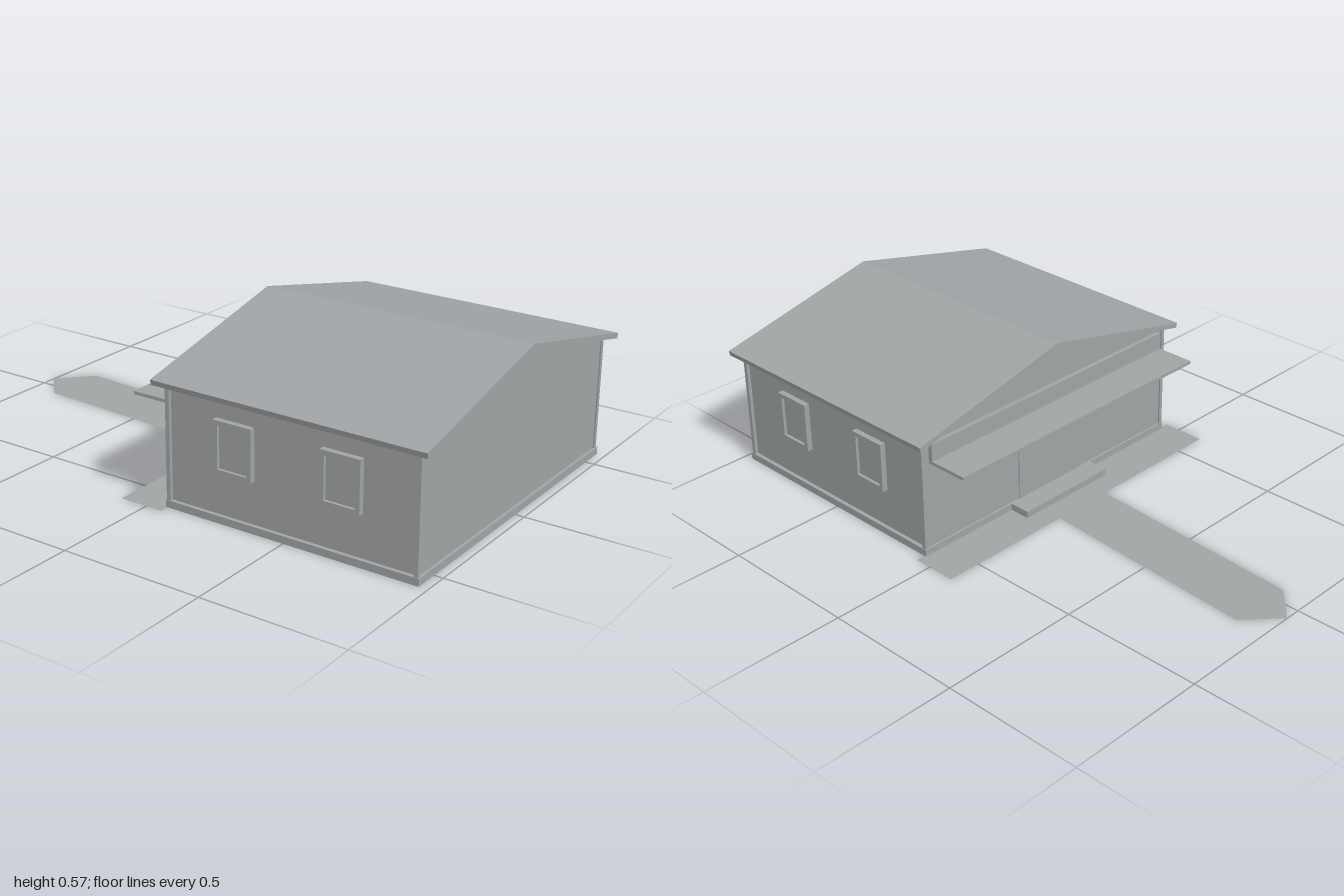
import * as THREE from 'three';

export function createModel() {
  const house = new THREE.Group();
  house.name = 'house';
  const grey = new THREE.MeshStandardMaterial({ color: 0xa0a4a6, side: THREE.DoubleSide });
  grey.name = 'plain grey';

  const add = (name, geometry, parent = house) => {
    const mesh = new THREE.Mesh(geometry, grey);
    mesh.name = name;
    parent.add(mesh);
    return mesh;
  };
  // box given by its limits on each axis
  const box = (name, x0, x1, y0, y1, z0, z1, parent) => {
    const g = new THREE.BoxGeometry(x1 - x0, y1 - y0, z1 - z0);
    g.translate((x0 + x1) / 2, (y0 + y1) / 2, (z0 + z1) / 2);
    return add(name, g, parent);
  };
  const shapeOf = (points) => new THREE.Shape(points.map(([x, y]) => new THREE.Vector2(x, y)));
  // front outline pushed along z
  const extrude = (points, z0, z1) => {
    const g = new THREE.ExtrudeGeometry(shapeOf(points), { depth: z1 - z0, bevelEnabled: false });
    return g.translate(0, 0, z0);
  };
  // flat ground sheet, points as [x, z]
  const sheet = (name, points, y) => {
    const g = new THREE.ShapeGeometry(shapeOf(points.map(([x, z]) => [x, -z])));
    g.rotateX(-Math.PI / 2).translate(0, y, 0);
    return add(name, g);
  };

  // body with gables, on a low plinth
  box('plinth', -0.587, 0.587, 0, 0.025, 0.053, 0.97);
  add('walls', extrude([[-0.573, 0.02], [0.573, 0.02], [0.573, 0.421], [0, 0.551], [-0.573, 0.421]], 0.061, 0.96));

  for (const s of [-1, 1]) {
    // roof slab
    add('roofSlab', extrude([[0, 0.569], [s * 0.617, 0.429], [s * 0.613, 0.411], [0, 0.551]], 0.025, 1.0));

    // corner posts
    for (const z of [0.056, 0.95]) {
      const [a, b] = [s * 0.571, s * 0.585];
      box('cornerPost', Math.min(a, b), Math.max(a, b), 0.025, 0.419, z, z + 0.015);
    }

    // side windows
    for (const z of [0.315, 0.7]) {
      const frame = shapeOf([[-0.07, -0.088], [0.07, -0.088], [0.07, 0.088], [-0.07, 0.088]]);
      frame.holes.push(new THREE.Path([[-0.054, -0.072], [-0.054, 0.072], [0.054, 0.072], [0.054, -0.072]]
        .map(([x, y]) => new THREE.Vector2(x, y))));
      const win = new THREE.Group();
      win.name = 'window';
      add('windowFrame', new THREE.ExtrudeGeometry(frame, { depth: 0.021, bevelEnabled: false }), win);
      box('windowPane', -0.055, 0.055, -0.073, 0.073, 0, 0.01, win);
      win.position.set(s * 0.572, 0.255, z);
      win.rotation.y = s * Math.PI / 2;
      house.add(win);
    }
  }

  // back door, step and awning with its mounting board
  box('door', -0.152, 0.152, 0.025, 0.32, 0.057, 0.065);
  box('doorStep', -0.195, 0.195, 0.001, 0.025, -0.022, 0.054);
  box('awning', -0.55, 0.55, 0.333, 0.344, -0.097, 0.061);
  box('awningBoard', -0.55, 0.55, 0.344, 0.405, 0.045, 0.061);

  // paving
  sheet('patio', [[-0.62, 0.06], [0.62, 0.06], [0.62, -0.1], [-0.62, -0.1]], 0.0005);
  sheet('path', [[-0.105, -0.1], [0.12, -0.1], [0.17, -0.89], [0.055, -1.0], [-0.058, -0.9]], 0.0005);

  return house;
}
